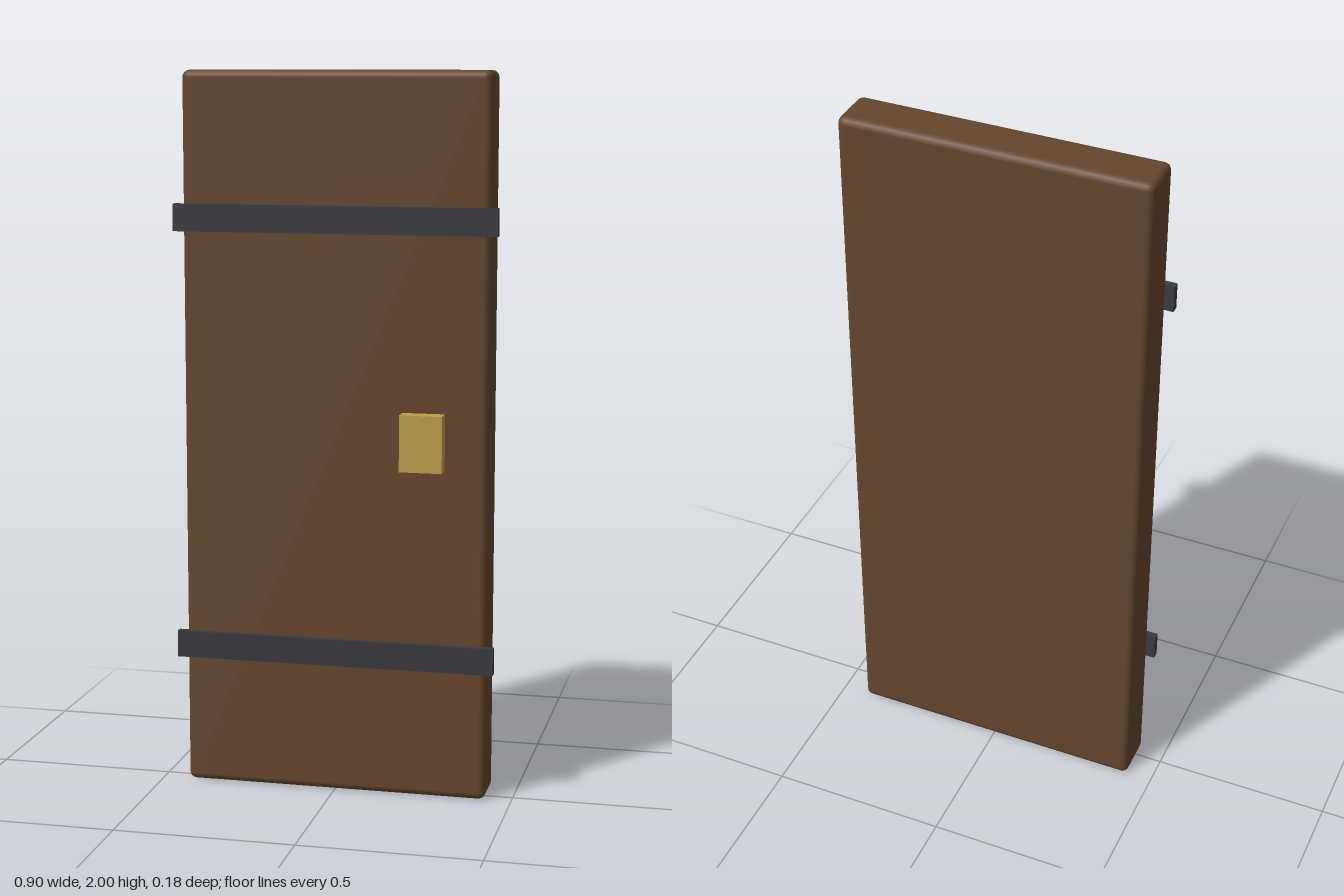
import * as THREE from 'three';
import { RoundedBoxGeometry } from 'three/addons/geometries/RoundedBoxGeometry.js';

const material = (name, color) => {
  const m = new THREE.MeshStandardMaterial({ color });
  m.name = name;
  return m;
};

export function createModel() {
  const wood = material('brown wood', 0x64462d);
  const iron = material('dark iron', 0x3a3a40);
  const brass = material('brass', 0xbf9f48);
  const door = new THREE.Group();
  door.name = 'door';

  const add = (name, geometry, mat, x, y, z) => {
    const mesh = new THREE.Mesh(geometry, mat);
    mesh.name = name;
    mesh.position.set(x, y, z);
    door.add(mesh);
  };

  // Slab with softened edges
  add('slab', new RoundedBoxGeometry(0.854, 2, 0.137, 2, 0.02), wood, 0, 1, -0.0225);

  // Iron straps across the front, slightly wider than the slab
  for (const [name, y] of [['lowerStrap', 0.402], ['upperStrap', 1.602]]) {
    add(name, new THREE.BoxGeometry(0.898, 0.075, 0.021), iron, 0, y, 0.0525);
  }

  // Latch plate on the model's left
  add('latch', new THREE.BoxGeometry(0.118, 0.156, 0.046), brass, 0.249, 1.004, 0.068);

  return door;
}
